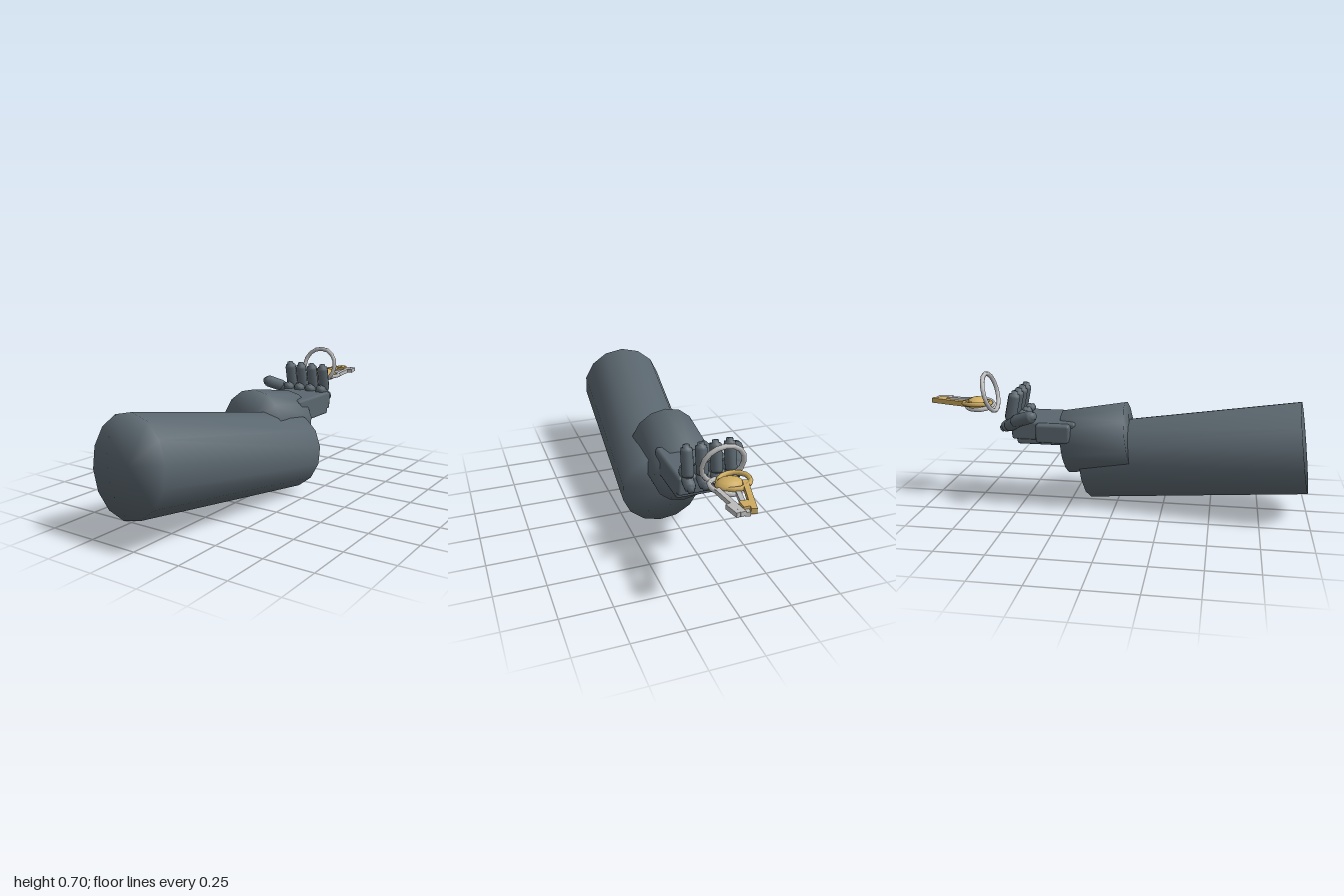
import * as THREE from 'three';
import { mergeVertices } from 'three/addons/utils/BufferGeometryUtils.js';
import { RoundedBoxGeometry } from 'three/addons/geometries/RoundedBoxGeometry.js';

const mat = (name, color) => {
  const m = new THREE.MeshStandardMaterial({ color });
  m.name = name;
  return m;
};

export function createModel() {
  const steel = mat('darkSteel', 0x5a666e);
  const silver = mat('silver', 0xbcbcbc);
  const gold = mat('gold', 0xcdab60);
  const root = new THREE.Group();
  root.name = 'armWithKeys';

  const add = (parent, name, geometry, material, pos = [0, 0, 0], rot = [0, 0, 0]) => {
    const mesh = new THREE.Mesh(geometry, material);
    mesh.name = name;
    mesh.position.set(...pos);
    mesh.rotation.set(...rot);
    parent.add(mesh);
    return mesh;
  };

  // Orients a geometry built along y so that it runs from a to b, with local z facing up
  const span = (geometry, a, b) => {
    const p = new THREE.Vector3(...a), q = new THREE.Vector3(...b);
    const y = q.clone().sub(p).normalize();
    const up = Math.abs(y.y) > 0.9 ? new THREE.Vector3(0, 0, 1) : new THREE.Vector3(0, 1, 0);
    const z = up.addScaledVector(y, -up.dot(y)).normalize();
    const x = new THREE.Vector3().crossVectors(y, z);
    const m = new THREE.Matrix4().makeBasis(x, y, z).setPosition(p.add(q).multiplyScalar(0.5));
    return geometry.applyMatrix4(m);
  };
  const dist = (a, b) => Math.hypot(a[0] - b[0], a[1] - b[1], a[2] - b[2]);

  // Tapered tube whose shading runs softly over its end edges
  const softTube = (a, b, ra, rb, sides) => {
    let g = new THREE.CylinderGeometry(rb, ra, dist(a, b), sides);
    g.deleteAttribute('uv');
    g.deleteAttribute('normal');
    g = mergeVertices(g, 1e-4);
    g.computeVertexNormals();
    return span(g, a, b);
  };
  const bar = (a, b, width, height) => span(new THREE.BoxGeometry(width, dist(a, b), height), a, b);

  // Forearm and wrist cuff
  add(root, 'forearm', softTube([0.073, 0.208, -0.16], [-0.047, 0.37, 0.965], 0.205, 0.236, 14), steel);
  add(root, 'wristCuff', softTube([-0.02, 0.338, -0.267], [-0.02, 0.385, 0.068], 0.169, 0.18, 14), steel);

  // Palm
  const hand = new THREE.Group();
  hand.name = 'hand';
  root.add(hand);
  add(hand, 'palm', new RoundedBoxGeometry(0.276, 0.1, 0.34, 1, 0.015), steel, [-0.018, 0.425, -0.365]);
  add(hand, 'palmBack', new RoundedBoxGeometry(0.27, 0.06, 0.3, 1, 0.015), steel, [-0.015, 0.379, -0.36]);
  add(hand, 'thumbBase', new RoundedBoxGeometry(0.08, 0.1, 0.18, 1, 0.015), steel, [-0.15, 0.42, -0.31]);

  // Finger segment: eight-sided barrel with a narrower nub at both ends
  const segment = (parent, name, a, b, r) => {
    const h = dist(a, b) / 2;
    const pts = [[0, -h], [r * 0.55, -h], [r * 0.6, -h + 0.014], [r * 0.9, -h + 0.016], [r, -h + 0.03],
      [r, h - 0.03], [r * 0.9, h - 0.016], [r * 0.6, h - 0.014], [r * 0.55, h], [0, h]];
    const g = new THREE.LatheGeometry(pts.map(p => new THREE.Vector2(...p)), 8);
    add(parent, name, span(g, a, b), steel);
  };

  // Four curled fingers
  for (let i = 0; i < 4; i++) {
    const x = -0.14 + i * 0.0715;
    const finger = new THREE.Group();
    finger.name = 'finger' + (i + 1);
    hand.add(finger);
    segment(finger, 'lowerSegment', [x, 0.5, -0.47], [x, 0.425, -0.59], 0.03);
    segment(finger, 'upperSegment', [x, 0.465, -0.545], [x, 0.628, -0.51], 0.031);
  }

  // Thumb
  const thumb = new THREE.Group();
  thumb.name = 'thumb';
  hand.add(thumb);
  segment(thumb, 'lowerSegment', [-0.15, 0.44, -0.56], [-0.195, 0.495, -0.47], 0.032);
  segment(thumb, 'upperSegment', [-0.18, 0.475, -0.52], [-0.235, 0.53, -0.385], 0.033);

  // Key ring
  const keys = new THREE.Group();
  keys.name = 'keys';
  root.add(keys);
  add(keys, 'keyRing', new THREE.TorusGeometry(0.101, 0.012, 8, 16), silver, [-0.035, 0.594, -0.678], [-0.25, 0, 0]);

  // Key bows
  const bow = add(keys, 'goldBow', new THREE.SphereGeometry(1, 14, 8), gold, [-0.035, 0.53, -0.755]);
  bow.scale.set(0.068, 0.036, 0.055);
  const bowRim = new THREE.TorusGeometry(0.072, 0.012, 6, 16);
  add(keys, 'silverBow', bowRim, silver, [-0.02, 0.52, -0.745], [Math.PI / 2, 0.15, 0]);
  add(keys, 'goldBowRim', bowRim, gold, [-0.06, 0.54, -0.745], [Math.PI / 2, -0.1, 0]);

  // Key shafts converging toward the tips, with teeth
  add(keys, 'goldShaft', bar([-0.1, 0.54, -0.77], [-0.035, 0.54, -1], 0.026, 0.026), gold);
  add(keys, 'goldTooth', new THREE.BoxGeometry(0.04, 0.024, 0.05), gold, [-0.02, 0.54, -0.95]);
  add(keys, 'silverShaft', bar([0.035, 0.53, -0.78], [0.012, 0.536, -1], 0.024, 0.022), silver);
  add(keys, 'silverTooth', bar([0.03, 0.535, -0.998], [0.045, 0.535, -0.92], 0.026, 0.022), silver);
  add(keys, 'secondSilverShaft', bar([-0.05, 0.525, -0.8], [-0.008, 0.53, -1], 0.022, 0.02), silver);

  return root;
}
